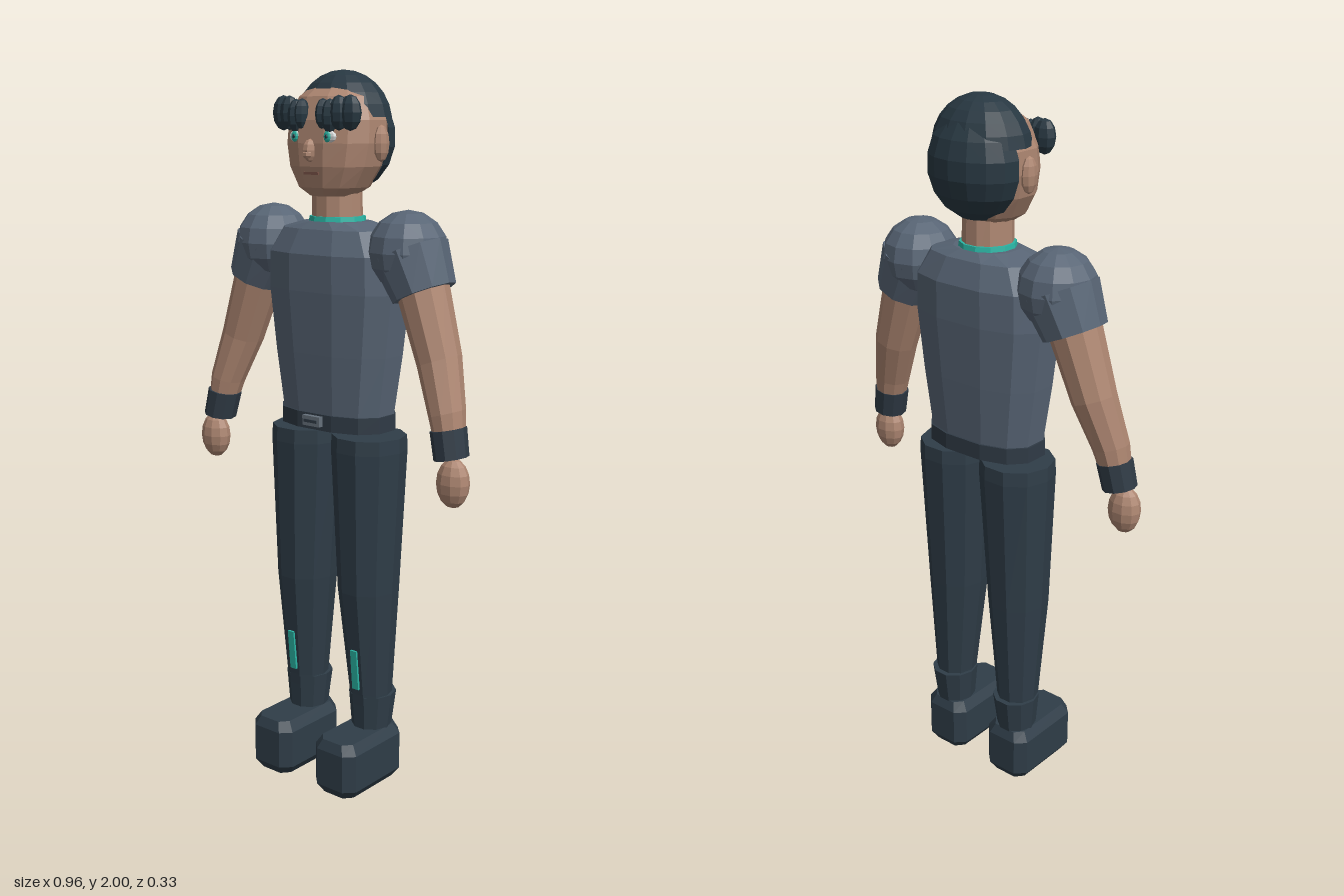
import * as THREE from 'three';

const mat = (name, color, side = THREE.FrontSide) => {
  const m = new THREE.MeshStandardMaterial({ color, side });
  m.name = name;
  return m;
};

// Unit cross-section, counter-clockwise from the front, with a flat front face
function section(n, power = 2) {
  const pts = [];
  for (let j = 0; j < n; j++) {
    const a = ((j + 0.5) / n) * Math.PI * 2;
    const f = (v) => Math.sign(v) * Math.abs(v) ** (2 / power);
    pts.push([f(Math.sin(a)), f(Math.cos(a))]);
  }
  const mx = Math.max(...pts.map((p) => p[0])), mz = Math.max(...pts.map((p) => p[1]));
  return pts.map(([x, z]) => [x / mx, z / mz]);
}

// Faceted solid through rings [x, y, z, radiusX, radiusZ, tilt], bottom to top
function loft(rings, sec) {
  const rows = rings.map(([x, y, z, rx, rz, t = 0]) =>
    sec.map(([u, w]) => [x + u * rx * Math.cos(t), y + u * rx * Math.sin(t), z + w * rz]));
  const pos = [], n = sec.length, last = rows.length - 1;
  const tri = (...ps) => ps.forEach((p) => pos.push(...p));
  for (let j = 0; j < n; j++) {
    const k = (j + 1) % n;
    for (let i = 0; i < last; i++) {
      tri(rows[i][j], rows[i][k], rows[i + 1][k]);
      tri(rows[i][j], rows[i + 1][k], rows[i + 1][j]);
    }
    tri(rings[0].slice(0, 3), rows[0][k], rows[0][j]);
    tri(rings[last].slice(0, 3), rows[last][j], rows[last][k]);
  }
  const g = new THREE.BufferGeometry();
  g.setAttribute('position', new THREE.Float32BufferAttribute(pos, 3));
  g.computeVertexNormals();
  return g;
}

// Faceted ellipsoid, optionally only part of one
function blob([x, y, z], [rx, ry, rz], w = 10, h = 8, ...range) {
  const g = new THREE.SphereGeometry(1, w, h, ...range).toNonIndexed();
  g.scale(rx, ry, rz).translate(x, y, z);
  g.computeVertexNormals();
  return g;
}

const box = ([x, y, z], [w, h, d]) => new THREE.BoxGeometry(w, h, d).translate(x, y, z);

export function createModel() {
  const skin = mat('skin', 0xae8772);
  const shirt = mat('shirt grey', 0x586575);
  const cloth = mat('trouser slate', 0x2f3d48);
  const hair = mat('hair dark', 0x283842, THREE.DoubleSide);
  const belt = mat('belt dark', 0x303b46);
  const metal = mat('buckle grey', 0x66717c);
  const teal = mat('teal accent', 0x2bb5a4);
  const white = mat('eye white', 0xd8dcdc);
  const lip = mat('lip brown', 0x7a5348);

  const model = new THREE.Group();
  model.name = 'standingFigure';
  const add = (name, geo, material) => {
    const m = new THREE.Mesh(geo, material);
    m.name = name;
    model.add(m);
    return m;
  };
  const round10 = section(10), round12 = section(12), soft12 = section(12, 2.5);

  // Torso, belt and neck
  add('torso', loft([
    [0, 1.08, -0.015, 0.17, 0.098],
    [0, 1.25, -0.015, 0.195, 0.11],
    [0, 1.42, -0.015, 0.215, 0.119],
    [0, 1.52, -0.015, 0.212, 0.119],
    [0, 1.585, -0.015, 0.168, 0.095],
    [0, 1.605, -0.012, 0.09, 0.075],
  ], soft12), shirt);
  add('belt', loft([
    [0, 1.04, -0.015, 0.175, 0.104],
    [0, 1.085, -0.015, 0.175, 0.104],
  ], soft12), belt);
  add('buckle', box([0, 1.066, 0.093], [0.06, 0.028, 0.022]), metal);
  add('buckleBar', box([0, 1.066, 0.105], [0.045, 0.008, 0.004]), belt);
  add('neck', loft([
    [0, 1.57, -0.012, 0.068, 0.068],
    [0, 1.72, -0.01, 0.064, 0.066],
  ], round12), skin);
  add('collar', loft([
    [0, 1.59, -0.012, 0.078, 0.077],
    [0, 1.618, -0.012, 0.074, 0.073],
  ], round12), teal);

  // Head
  add('head', loft([
    [0, 1.672, 0.005, 0.055, 0.06],
    [0, 1.695, 0, 0.092, 0.086],
    [0, 1.75, -0.005, 0.124, 0.103],
    [0, 1.81, -0.01, 0.136, 0.11],
    [0, 1.87, -0.015, 0.134, 0.108],
    [0, 1.93, -0.025, 0.11, 0.096],
    [0, 1.965, -0.03, 0.07, 0.06],
  ], section(12, 2.3)), skin);
  add('nose', blob([0, 1.792, 0.1], [0.015, 0.03, 0.025], 6, 6), skin);
  add('noseTip', blob([0, 1.782, 0.112], [0.013, 0.012, 0.014], 6, 5), skin);
  add('mouth', box([0, 1.733, 0.096], [0.05, 0.007, 0.006]), lip);

  // Hair: crown, back half and fringe
  add('hairCrown', blob([0, 1.86, -0.035], [0.143, 0.14, 0.112], 14, 6, 0, Math.PI * 2, 0, Math.PI * 0.46), hair);
  add('hairBack', blob([0, 1.825, -0.055], [0.14, 0.145, 0.112], 8, 9, Math.PI, Math.PI), hair);
  const tufts = [
    [0.115, 1.888, 0.075, 0.032, 0.046],
    [0.085, 1.888, 0.085, 0.026, 0.045],
    [0.058, 1.88, 0.089, 0.022, 0.044],
    [0.036, 1.885, 0.09, 0.018, 0.04],
  ];

  for (const s of [1, -1]) {
    const side = s > 0 ? 'left' : 'right';
    const part = (name, geo, material) => add(side + name, geo, material);
    const rings = (list) => list.map(([x, y, z, rx, rz, t = 0]) => [s * x, y, z, rx, rz, s * t]);

    // Face details
    part('Ear', blob([s * 0.142, 1.81, -0.02], [0.018, 0.048, 0.026], 8, 6), skin);
    part('Eye', blob([s * 0.056, 1.828, 0.09], [0.025, 0.016, 0.009], 10, 6), white);
    part('Iris', blob([s * 0.056, 1.828, 0.098], [0.012, 0.015, 0.005], 8, 6), teal);
    part('Pupil', blob([s * 0.056, 1.828, 0.102], [0.005, 0.006, 0.003], 6, 4), hair);
    part('Brow', box([s * 0.058, 1.852, 0.093], [0.05, 0.008, 0.008]), hair);
    tufts.forEach(([x, y, z, rx, ry], i) =>
      part('FringeTuft' + (i + 1), blob([s * x, y, z], [rx, ry, 0.026], 8, 6), hair));

    // Arm
    part('Shoulder', blob([s * 0.236, 1.535, -0.016], [0.108, 0.108, 0.108], 12, 8), shirt);
    part('Sleeve', loft(rings([
      [0.293, 1.43, -0.014, 0.085, 0.086, 0.41],
      [0.243, 1.535, -0.016, 0.104, 0.1, 0.41],
    ]), round10), shirt);
    part('Arm', loft(rings([
      [0.415, 1.04, 0.027, 0.038, 0.04, 0.25],
      [0.395, 1.13, 0.018, 0.049, 0.05, 0.28],
      [0.352, 1.26, -0.004, 0.06, 0.06, 0.34],
      [0.29, 1.44, -0.012, 0.07, 0.07, 0.41],
    ]), round10), skin);
    part('WristBand', loft(rings([
      [0.42, 1.015, 0.03, 0.046, 0.047, 0.2],
      [0.404, 1.09, 0.024, 0.048, 0.049, 0.2],
    ]), round10), belt);
    part('Hand', blob([s * 0.432, 0.952, 0.038], [0.048, 0.067, 0.037], 10, 8), skin);

    // Leg
    part('Leg', loft(rings([
      [0.12, 0.14, -0.02, 0.05, 0.05],
      [0.12, 0.27, -0.019, 0.06, 0.06],
      [0.114, 0.58, -0.012, 0.085, 0.086],
      [0.11, 0.985, -0.017, 0.106, 0.102],
      [0.11, 1.025, -0.017, 0.104, 0.1],
    ]), round10), cloth);
    part('ShinStrip', box([0, 0, 0], [0.022, 0.12, 0.012])
      .rotateX(0.09).translate(s * 0.118, 0.35, 0.05), teal);

    // Boot
    part('BootShaft', loft(rings([
      [0.12, 0.14, -0.022, 0.054, 0.054],
      [0.12, 0.265, -0.027, 0.067, 0.067],
    ]), round10), cloth);
    const sole = [[0.62, 1], [1, 0.78], [1, -0.78], [0.62, -1], [-0.62, -1], [-1, -0.78], [-1, 0.78], [-0.62, 1]];
    part('Boot', loft(rings([
      [0.119, 0, 0.038, 0.054, 0.11],
      [0.119, 0.028, 0.038, 0.074, 0.128],
      [0.119, 0.137, 0.038, 0.074, 0.128],
      [0.119, 0.165, 0.038, 0.055, 0.116],
    ]), sole), cloth);
  }
  return model;
}
